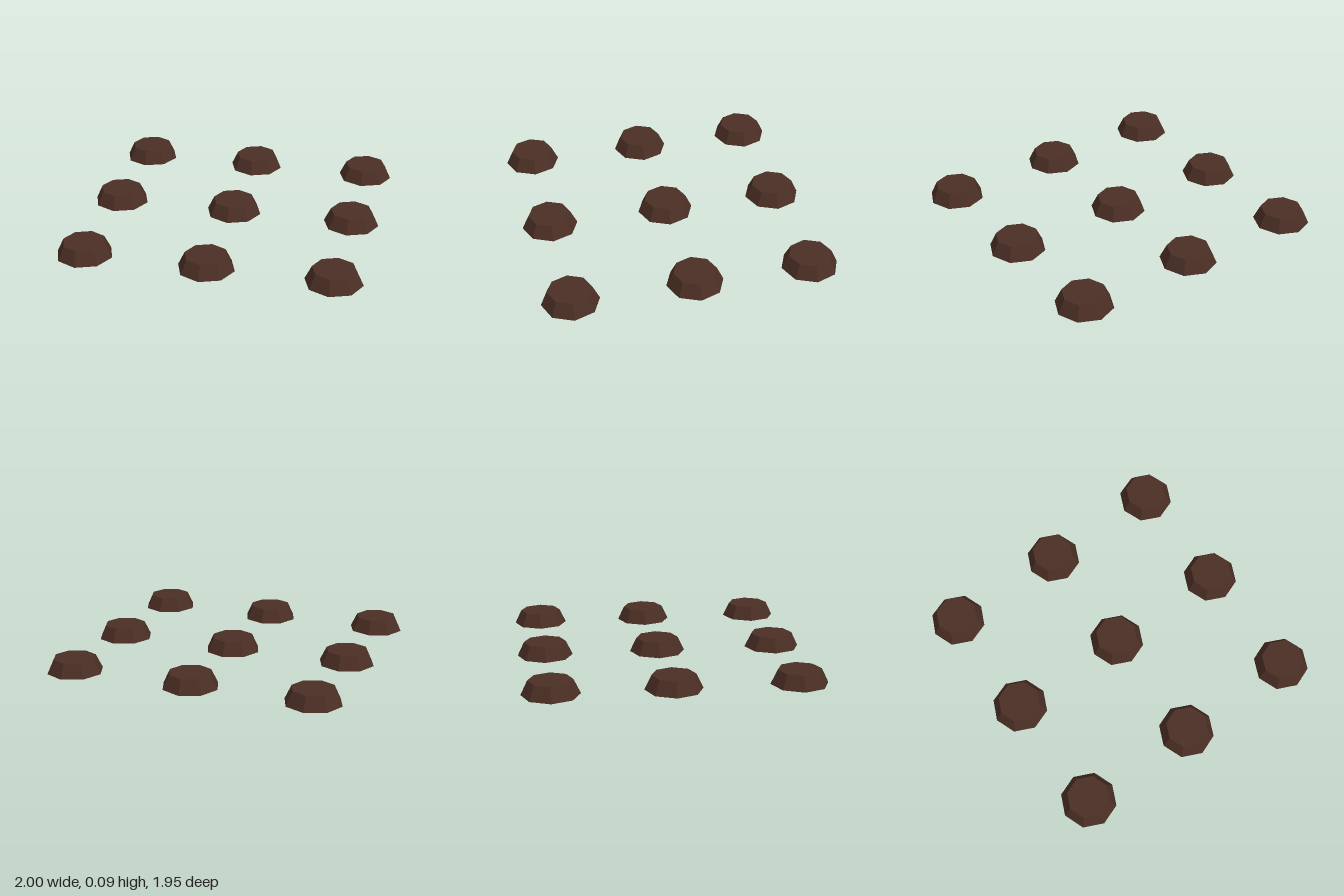
import * as THREE from 'three';

const BASE_RADIUS = 0.187;
const TOP_RADIUS = 0.142;
const HEIGHT = 0.094;
const SIDES = 8;

export function createModel() {
  const model = new THREE.Group();
  model.name = 'studGrid';

  const darkBrown = new THREE.MeshStandardMaterial({
    color: 0x4a2e24, flatShading: true, side: THREE.DoubleSide,
  });
  darkBrown.name = 'darkBrown';

  // Sloped eight-sided wall, open underneath
  const wallGeometry = new THREE.CylinderGeometry(TOP_RADIUS, BASE_RADIUS, HEIGHT, SIDES, 1, true);
  wallGeometry.translate(0, HEIGHT / 2, 0);

  // Flat lid closing the top
  const lidGeometry = new THREE.CircleGeometry(TOP_RADIUS, SIDES);
  lidGeometry.rotateX(-Math.PI / 2);
  lidGeometry.translate(0, HEIGHT, 0);

  // Three by three grid of hollow studs, each turned slightly
  for (const z of [-0.79, -0.02, 0.785]) {
    for (const x of [-0.813, -0.003, 0.813]) {
      const stud = new THREE.Group();
      stud.name = 'stud';
      const wall = new THREE.Mesh(wallGeometry, darkBrown);
      wall.name = 'studWall';
      const lid = new THREE.Mesh(lidGeometry, darkBrown);
      lid.name = 'studLid';
      stud.add(wall, lid);
      stud.position.set(x, 0, z);
      stud.rotation.y = -0.035;
      model.add(stud);
    }
  }
  return model;
}
